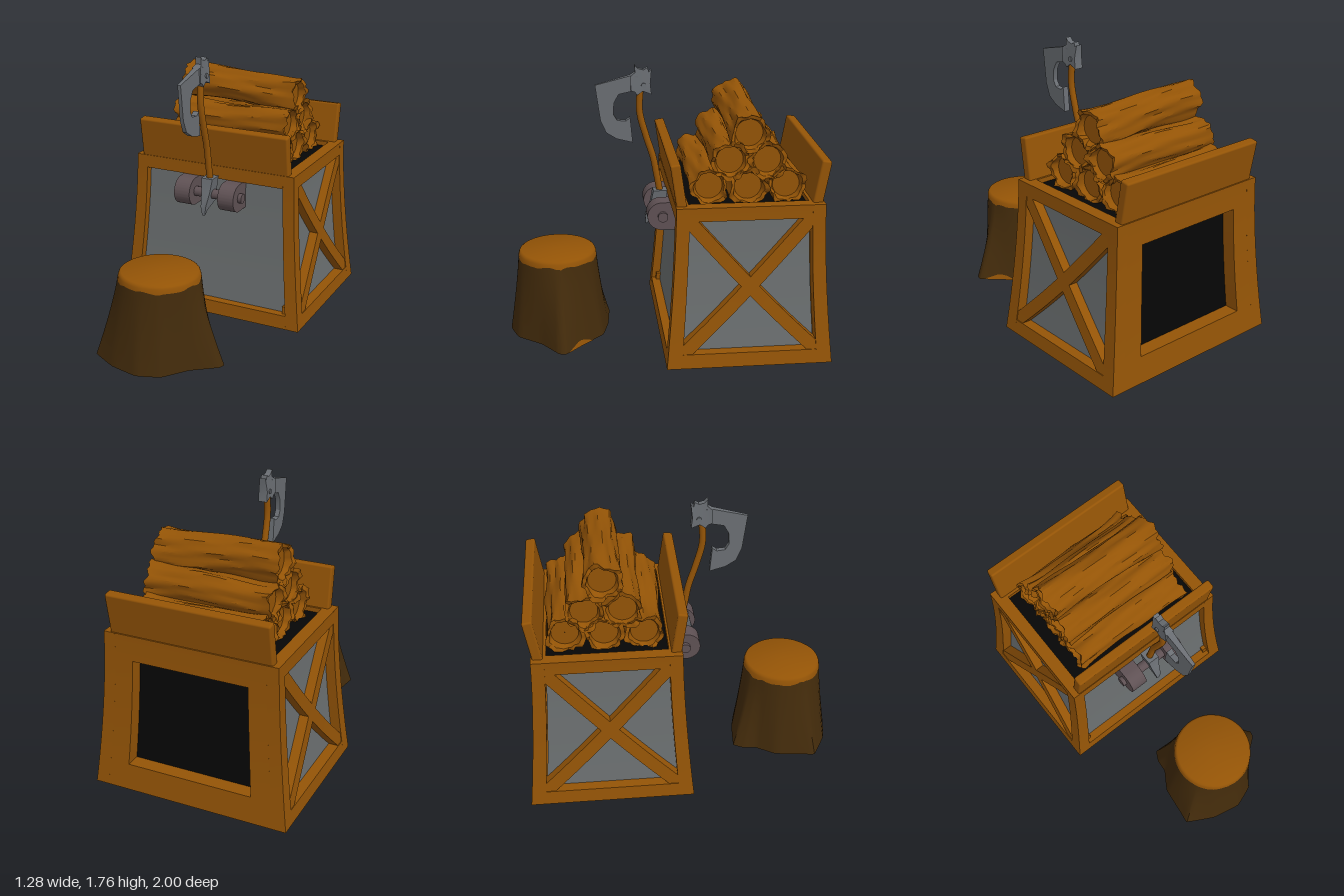
import * as THREE from 'three';
import { toCreasedNormals } from 'three/addons/utils/BufferGeometryUtils.js';
import { RoundedBoxGeometry } from 'three/addons/geometries/RoundedBoxGeometry.js';

const mat = (name, color) => {
  const m = new THREE.MeshStandardMaterial({ color });
  m.name = name;
  return m;
};

export function createModel() {
  const wood = mat('wood', 0x945406);
  const panel = mat('greyPanel', 0x6b6f70);
  const black = mat('blackOpening', 0x060606);
  const bark = mat('bark', 0x432b0b);
  const steel = mat('steel', 0x6a6e73);
  const iron = mat('bracketIron', 0x5f5154);

  const model = new THREE.Group();
  model.name = 'woodcutterCrate';
  const add = (name, geometry, material, parent = model) => {
    const mesh = new THREE.Mesh(geometry, material);
    mesh.name = name;
    parent.add(mesh);
    return mesh;
  };
  const group = (name) => {
    const g = new THREE.Group();
    g.name = name;
    model.add(g);
    return g;
  };

  // Surface through a list of rings with equal point counts
  const loft = (rings, closed = true, crease = 0.7) => {
    const n = rings[0].length, index = [];
    for (let i = 0; i < rings.length - 1; i++) {
      for (let j = 0; j < (closed ? n : n - 1); j++) {
        const k = (j + 1) % n, a = i * n + j, b = i * n + k;
        index.push(a, a + n, b + n, a, b + n, b);
      }
    }
    const g = new THREE.BufferGeometry().setFromPoints(rings.flat());
    g.setIndex(index);
    return toCreasedNormals(g, crease);
  };

  // Flat outline in (z, y) thickened along x; taper(z, y) scales the thickness
  const plate = (points, thickness, taper) => {
    const shape = points instanceof THREE.Shape ? points
      : new THREE.Shape(points.map(([z, y]) => new THREE.Vector2(z, y)));
    const g = new THREE.ExtrudeGeometry(shape, { depth: thickness, bevelEnabled: false, curveSegments: 20 });
    g.translate(0, 0, -thickness / 2).rotateY(-Math.PI / 2);
    if (taper) {
      const p = g.attributes.position;
      for (let i = 0; i < p.count; i++) p.setX(i, p.getX(i) * taper(p.getZ(i), p.getY(i)));
    }
    return toCreasedNormals(g, 0.5);
  };

  // Crate: straight boxes, widened towards the ground in a soft curve
  const crate = group('crate');
  const flare = (g) => {
    const p = g.attributes.position;
    for (let i = 0; i < p.count; i++) {
      const f = Math.pow(1 - THREE.MathUtils.clamp(p.getY(i) / 1.02, 0, 1), 1.6);
      p.setX(i, p.getX(i) * (1 + 0.143 * f));
      p.setZ(i, p.getZ(i) * (1 + 0.144 * f) - 0.4825 - 0.0025 * f);
    }
    g.computeVertexNormals();
    return g;
  };
  const bar = (name, w, h, d, x, y, z, material = wood) =>
    add(name, flare(new THREE.BoxGeometry(w, h, d, 1, 10, 1).translate(x, y, z)), material, crate);

  bar('crateCore', 1.0, 0.975, 0.765, 0, 0.5025, 0.0175, [panel, panel, black, panel, panel, black]);
  bar('frontTopRail', 0.97, 0.085, 0.08, 0, 0.9775, 0.41);
  bar('frontBottomRail', 0.97, 0.09, 0.08, 0, 0.045, 0.41);
  bar('backTopRail', 0.97, 0.16, 0.09, 0, 0.94, -0.405);
  bar('backBottomRail', 0.97, 0.17, 0.09, 0, 0.085, -0.405);
  for (const s of [-1, 1]) {
    for (const e of [-1, 1]) bar('cornerPost', 0.075, 1.02, 0.08, s * 0.5225, 0.51, e * 0.41);
    bar('sideTopRail', 0.08, 0.085, 0.74, s * 0.52, 0.9775, 0);
    bar('sideBottomRail', 0.08, 0.09, 0.74, s * 0.52, 0.045, 0);
    bar('backStile', 0.115, 0.69, 0.09, s * 0.4275, 0.515, -0.405);
    bar('cornerBlock', 0.03, 0.05, 0.03, s * 0.472, 0.112, 0.41);
    for (const e of [-1, 1]) {
      const g = new THREE.BoxGeometry(0.062, 1.12, 0.08, 1, 14, 1);
      add('sideBrace', flare(g.rotateX(e * 0.719).translate(s * 0.525, 0.5125, 0)), wood, crate);
    }
  }

  // Leaning boards that hold the logs
  for (const [name, z, tilt] of [['frontBoard', -0.05, 0.15], ['backBoard', -0.9125, -0.17]]) {
    const board = add(name, new RoundedBoxGeometry(1.04, 0.285, 0.062, 3, 0.012), wood);
    board.position.set(0, 1.137, z);
    board.rotation.x = tilt;
  }

  // Gnarled logs with hollowed ends and ragged rims
  const logs = group('logs');
  const log = (y, z, R, s, tilt) => {
    const ring = (x, k, bumpy = 1) => Array.from({ length: 40 }, (_, j) => {
      const a = (j / 40) * Math.PI * 2, end = Math.pow(Math.abs(x) / 0.4, 4);
      const bump = 0.06 * Math.sin(3 * a + s + 3 * x) + (0.04 + 0.03 * end) * Math.sin(5 * a - 2 * s + 6 * x)
        + 0.04 * Math.sin(9 * a + 3 * s - 5 * x) + 0.02 * Math.sin(13 * a + s + 14 * x);
      const r = R * k * (1 + bumpy * bump);
      const jag = bumpy * (0.012 * Math.sin(4 * a + s) + 0.008 * Math.sin(11 * a + 2 * s)) * Math.sign(x) * end;
      const cy = y + tilt * x + 0.007 * Math.sin(7 * x + s);
      return new THREE.Vector3(x + jag, cy + r * Math.sin(a), z + r * Math.cos(a));
    });
    const rings = [ring(-0.355, 0.001, 0), ring(-0.355, 0.74, 0), ring(-0.393, 0.84, 0.6)];
    for (let i = 0; i <= 20; i++) {
      const x = -0.4 + (0.8 * i) / 20;
      rings.push(ring(x, 0.96 + 0.08 * Math.pow(Math.abs(x) / 0.4, 6) + 0.03 * Math.sin(11 * x + 2 * s)));
    }
    rings.push(ring(0.393, 0.84, 0.6), ring(0.355, 0.74, 0), ring(0.355, 0.001, 0));
    add('log', loft(rings), wood, logs);
  };
  [[1.09, -0.25, 0], [1.09, -0.49, 0], [1.09, -0.725, 0], [1.245, -0.375, 0], [1.25, -0.605, 0], [1.435, -0.49, -0.03]]
    .forEach(([y, z, tilt], i) => log(y, z, 0.112, i * 1.7 + 0.4, tilt));

  // Iron bracket on the front: two rounded lugs on a rod
  const bracket = group('axeBracket');
  const lug = new THREE.Shape();
  lug.moveTo(-0.085, 0.755);
  lug.lineTo(0.02, 0.755);
  lug.absarc(0.02, 0.845, 0.09, -Math.PI / 2, Math.PI / 2, false);
  lug.lineTo(-0.085, 0.935);
  for (const s of [-1, 1]) add('bracketLug', plate(lug, 0.11), iron, bracket).position.x = s * 0.155;
  const rod = add('bracketRod', new THREE.CylinderGeometry(0.032, 0.032, 0.47, 12), iron, bracket);
  rod.rotation.z = Math.PI / 2;
  rod.position.set(0, 0.845, 0.015);

  // Axe hanging in the bracket
  const axe = group('axe');
  const path = new THREE.CatmullRomCurve3([[0.93, 0.012], [1.06, 0.035], [1.17, 0.056], [1.31, 0.1], [1.47, 0.14], [1.62, 0.135]]
    .map(([y, z]) => new THREE.Vector3(0, y, z)));
  add('axeHandle', new THREE.TubeGeometry(path, 30, 0.021, 12), wood, axe);
  add('axePommel', plate([[-0.03, 0.955], [-0.03, 0.79], [0.02, 0.77], [0.07, 0.755], [0.105, 0.722], [0.11, 0.78], [0.075, 0.87], [0.058, 0.955]],
    0.078, (z, y) => (y > 0.9 ? 1 : THREE.MathUtils.clamp(0.25 + (y - 0.722) * 3.5, 0.25, 0.75))), steel, axe);
  add('axeBlade', plate([[0.15, 1.70], [0.15, 1.61], [0.195, 1.602], [0.27, 1.585], [0.3, 1.53], [0.303, 1.457], [0.281, 1.419],
    [0.228, 1.414], [0.20, 1.435], [0.185, 1.275], [0.285, 1.3], [0.35, 1.34], [0.385, 1.42],
    [0.415, 1.644], [0.292, 1.676], [0.2, 1.70]], 0.044, (z) => THREE.MathUtils.clamp(1 - (z - 0.15) * 2, 0.3, 1)), steel, axe);
  add('axeHub', plate([[0.17, 1.60], [0.155, 1.58], [0.12, 1.605], [0.067, 1.583], [0.075, 1.65], [0.066, 1.735], [0.083, 1.722],
    [0.09, 1.75], [0.115, 1.735], [0.15, 1.745], [0.17, 1.765], [0.168, 1.72], [0.195, 1.70], [0.195, 1.61]],
    0.058, (z, y) => (y > 1.71 ? 0.65 : 1)), steel, axe);
  const pin = add('axePin', new THREE.CylinderGeometry(0.016, 0.016, 0.07, 10), steel, axe);
  pin.rotation.z = Math.PI / 2;
  pin.position.set(0, 1.64, 0.115);

  // Chopping stump: spreading root outline below, round cut above
  const stump = group('choppingStump');
  const roots = new THREE.CatmullRomCurve3([[-0.196, 0.344], [0.005, 0.36], [0.164, 0.4], [0.307, 0.545], [0.415, 0.645], [0.403, 0.69],
    [0.26, 0.8], [0.148, 0.947], [0.005, 1.0], [-0.18, 0.962], [-0.348, 0.87], [-0.34, 0.79], [-0.317, 0.608], [-0.243, 0.492],
    [-0.235, 0.41]].map(([x, z]) => new THREE.Vector3(x, 0, z - 0.68)), true, 'catmullrom', 0.12).getPoints(60).slice(0, 60);
  const stumpRing = (y, k = 1) => roots.map((p, j) => {
    const base = Math.hypot(p.x, p.z), f = Math.pow(Math.max(0, 1 - (y - 0.017) / 0.54), 1.25);
    const r = k * THREE.MathUtils.lerp(0.25, base, f), a = Math.atan2(p.z, p.x);
    const wave = y === 0.53 ? 0.006 * Math.sin(j * 0.63) + 0.004 * Math.sin(j * 1.47) : 0;
    return new THREE.Vector3(r * Math.cos(a), y + wave, 0.68 + r * Math.sin(a));
  });
  const barkRings = [stumpRing(0.017, 0.001)];
  for (const y of [0.017, 0.1, 0.18, 0.26, 0.34, 0.42, 0.48, 0.53]) barkRings.push(stumpRing(y));
  add('stumpBark', loft(barkRings), bark, stump);
  add('stumpTop', loft([stumpRing(0.53), stumpRing(0.556, 0.992), stumpRing(0.568, 0.97), stumpRing(0.575, 0.93),
    stumpRing(0.575, 0.001)]), wood, stump);

  // Bare patch low on the root
  const patch = [0, 1].map((up) => stumpRing(0.018, 1.012).map((p, j) => {
    const t = THREE.MathUtils.clamp((p.x - 0.24) / 0.15, 0, 1);
    return up ? stumpRing(0.018 + 0.037 * Math.sin(t * Math.PI), 1.012)[j] : p;
  }).filter((p) => p.x > 0.23 && p.z < 0.66));
  add('stumpBarePatch', loft(patch, false), wood, stump);

  return model;
}
